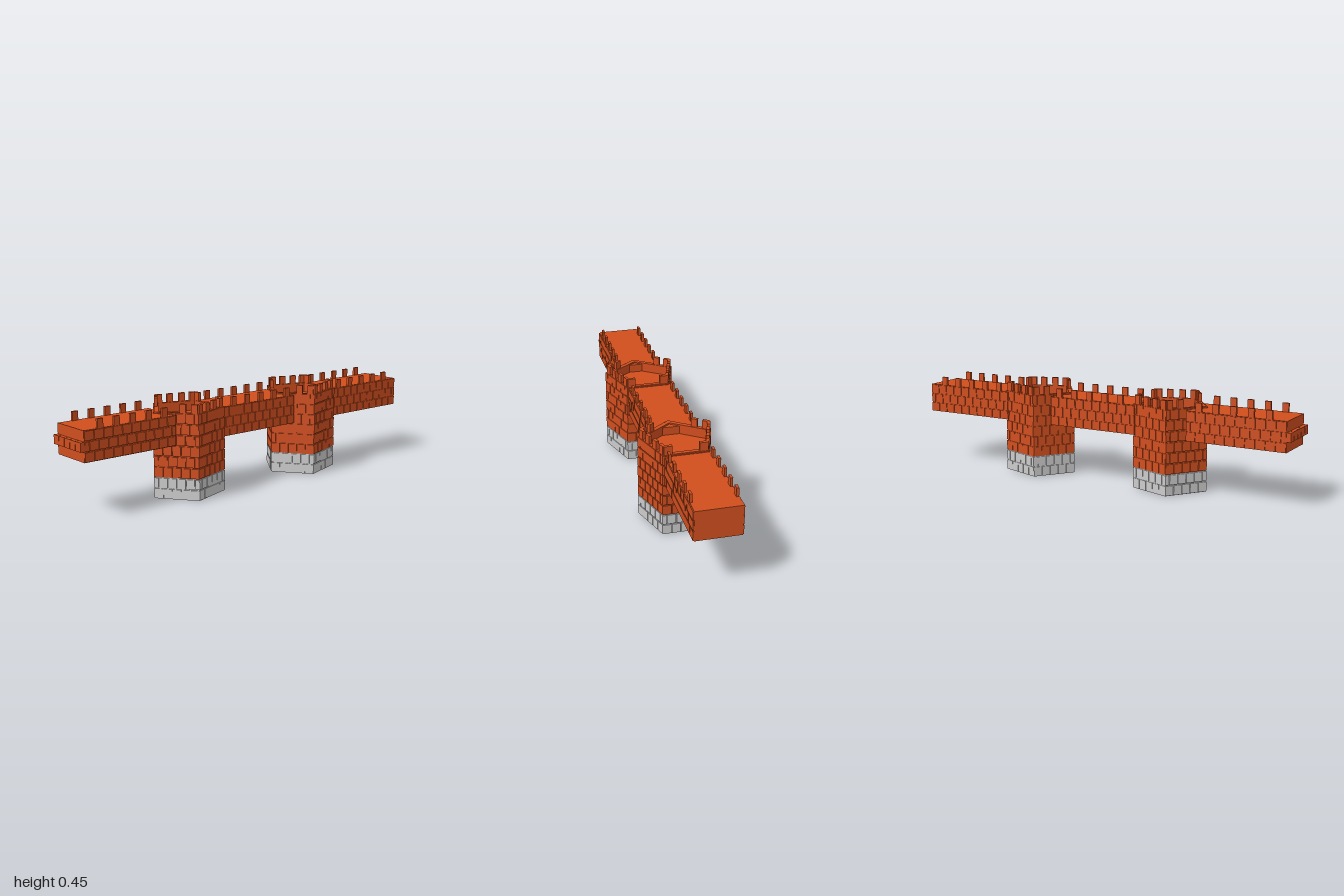
import * as THREE from 'three';
import { mergeGeometries } from 'three/addons/utils/BufferGeometryUtils.js';

const red = new THREE.MeshStandardMaterial({ color: 0xd04e1e });
const grey = new THREE.MeshStandardMaterial({ color: 0xcccccc });

const R = 0.18;                               // pier core radius
const APOTHEM = R * Math.cos(Math.PI / 5);
const EDGE = 2 * R * Math.sin(Math.PI / 5);
const ROW = 0.0515, BASE_ROWS = 2, ROWS = 8;
const PIER_TOP = ROW * ROWS, FLOOR = 0.365;
const DECK_Y = 0.262, DECK_TOP = 0.405, DECK_ROW = (DECK_TOP - DECK_Y) / 3;
const BACK = -0.115, FRONT = 0.096;

const box = (w, h, d, x, y, z) => new THREE.BoxGeometry(w, h, d).translate(x, y, z);

function add(parent, name, geometries, material) {
  const mesh = new THREE.Mesh(mergeGeometries(geometries), material);
  mesh.name = name;
  parent.add(mesh);
}

// One course of bricks along x from x0 to x1; odd courses are shifted by half a brick
function course(x0, x1, y, h, odd, out, z = 0) {
  const list = [];
  const n = Math.max(1, Math.round((x1 - x0) / 0.047));
  const step = (x1 - x0) / n;
  for (let i = 0; i <= n; i++) {
    const a = Math.max(x0, x0 + (i - (odd ? 0.5 : 0)) * step);
    const b = Math.min(x1, x0 + (i + (odd ? 0.5 : 1)) * step);
    if (b - a < 0.005) continue;
    list.push(box(b - a - 0.003, h - 0.005, 2 * out, (a + b) / 2, y + h / 2, z));
  }
  return list;
}

// Pentagonal prism with its point towards -x, optionally hollow
function pentagon(radius, y0, y1, hole = 0) {
  const points = (r) => Array.from({ length: 5 }, (_, i) => {
    const a = Math.PI + i * Math.PI * 0.4;
    return new THREE.Vector2(r * Math.cos(a), r * Math.sin(a));
  });
  const shape = new THREE.Shape(points(radius));
  if (hole) shape.holes.push(new THREE.Path(points(hole)));
  return new THREE.ExtrudeGeometry(shape, { depth: y1 - y0, bevelEnabled: false })
    .rotateX(-Math.PI / 2).translate(0, y0, 0);
}

function createPier(x) {
  const pier = new THREE.Group();
  pier.name = 'pier';
  pier.position.x = x;
  const baseTop = ROW * BASE_ROWS;
  add(pier, 'foundation', [pentagon(R, 0, baseTop)], grey);
  add(pier, 'towerCore', [pentagon(R, baseTop, FLOOR)], red);
  add(pier, 'parapet', [pentagon(R, FLOOR, PIER_TOP, R - 0.024)], red);

  const stone = [], brick = [], merlons = [];
  for (let i = 0; i < 5; i++) {
    const a = Math.PI * (1.2 + 0.4 * i);      // direction this side faces
    const nx = Math.cos(a), nz = Math.sin(a);
    const place = (g) => g.rotateY(Math.atan2(nx, nz)).translate(nx * APOTHEM, 0, nz * APOTHEM);
    const out = i === 1 || i === 3 ? 0.0035 : 0.006;
    const half = EDGE / 2 + 0.003;
    for (let r = 0; r < ROWS; r++) {
      const list = course(-half, half, r * ROW, ROW, r % 2 === 1, out).map(place);
      (r < BASE_ROWS ? stone : brick).push(...list);
    }
    // merlons, leaving the walkway open
    const spots = i === 2 ? [-0.083, 0.083] : [-0.085, -0.03, 0.03, 0.085];
    for (const s of spots) {
      const m = place(box(i === 2 ? 0.04 : 0.03, 0.042, 0.016, s, PIER_TOP + 0.02, -0.008));
      m.computeBoundingBox();
      const { min, max } = m.boundingBox;
      if (Math.abs(min.z + max.z) / 2 > 0.07) merlons.push(m);
    }
  }
  add(pier, 'foundationStones', stone, grey);
  add(pier, 'towerBricks', brick, red);
  add(pier, 'towerMerlons', merlons, red);
  return pier;
}

// Wall span between x0 and x1, with bricks and merlons on both long sides
function createSpan(x0, x1, merlonStart) {
  const span = new THREE.Group();
  span.name = 'wallSpan';
  add(span, 'wallCore', [box(x1 - x0, DECK_TOP - DECK_Y, FRONT - BACK,
    (x0 + x1) / 2, (DECK_TOP + DECK_Y) / 2, (FRONT + BACK) / 2)], red);
  const bricks = [], merlons = [];
  for (const side of [FRONT, BACK]) {
    for (let r = 0; r < 3; r++) {
      bricks.push(...course(x0, x1, DECK_Y + r * DECK_ROW, DECK_ROW, r % 2 === 1, 0.005, side));
    }
    for (let i = 0; i < 5; i++) {
      merlons.push(box(0.03, 0.044, 0.012, merlonStart + i * 0.086, DECK_TOP + 0.02,
        side - Math.sign(side) * 0.005));
    }
  }
  add(span, 'wallBricks', bricks, red);
  add(span, 'wallMerlons', merlons, red);
  return span;
}

export function createModel() {
  const model = new THREE.Group();
  model.name = 'fortifiedWall';
  model.add(createPier(-0.359), createPier(0.376));
  model.add(createSpan(-0.98, -0.49, -0.895));
  model.add(createSpan(-0.22, 0.25, -0.14));
  model.add(createSpan(0.51, 1, 0.57));

  // projecting middle course on the right-hand end
  const end = course(BACK - 0.005, FRONT + 0.005, DECK_Y + DECK_ROW, DECK_ROW, false, 0.02)
    .map((g) => g.rotateY(-Math.PI / 2).translate(-0.98, 0, 0));
  add(model, 'endBricks', end, red);
  return model;
}
